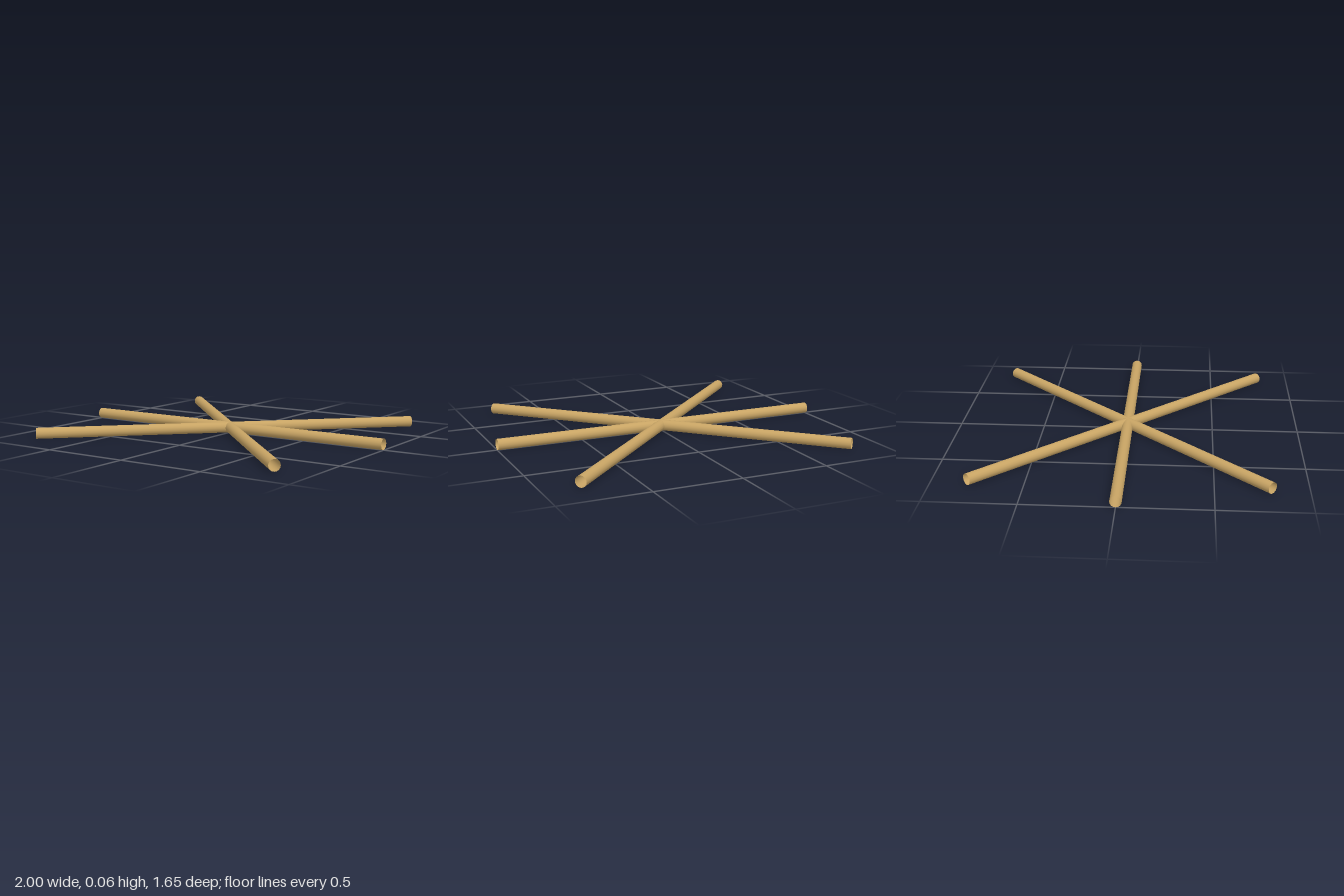
import * as THREE from 'three';

const RADIUS = 0.032;

export function createModel() {
  const model = new THREE.Group();
  model.name = 'crossedRods';

  const wood = new THREE.MeshStandardMaterial({ color: 0xc8a464, side: THREE.DoubleSide });
  wood.name = 'tan wood';

  // Open-ended hollow rod lying flat, turned about the shared centre
  const addRod = (name, length, angle) => {
    const geometry = new THREE.CylinderGeometry(RADIUS, RADIUS, length, 16, 1, true);
    geometry.rotateZ(Math.PI / 2);
    const rod = new THREE.Mesh(geometry, wood);
    rod.name = name;
    rod.position.y = RADIUS;
    rod.rotation.y = angle;
    model.add(rod);
  };

  // One straight rod and two longer diagonals
  const diagonal = 1.6 * Math.SQRT2;
  addRod('crossRod', 2, 0);
  addRod('diagonalRodA', diagonal, Math.PI / 4);
  addRod('diagonalRodB', diagonal, -Math.PI / 4);

  return model;
}
